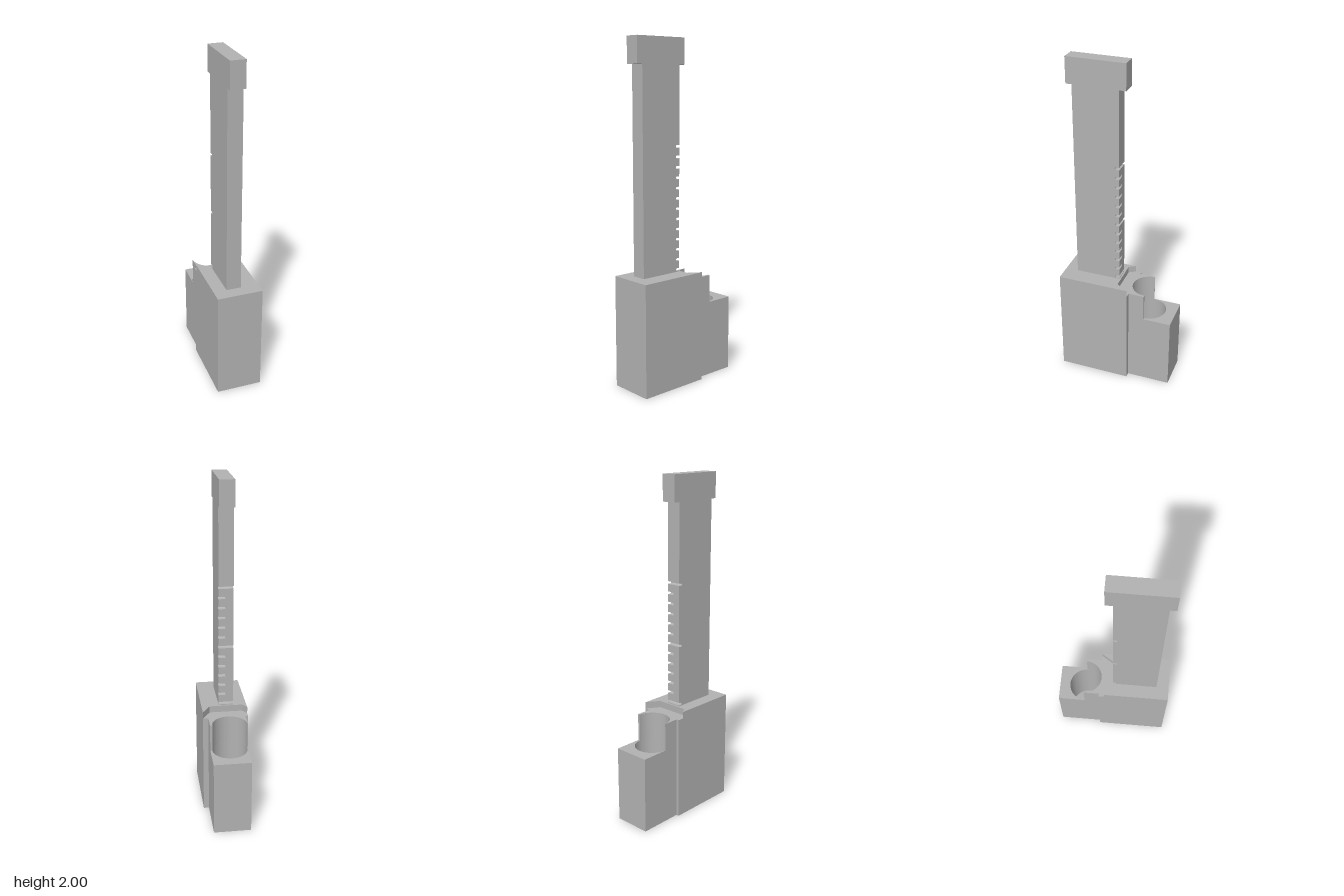
import * as THREE from 'three';
import { toCreasedNormals } from 'three/addons/utils/BufferGeometryUtils.js';

export function createModel() {
  const group = new THREE.Group();
  const grey = new THREE.MeshStandardMaterial({ color: 0xb2b2b2 });
  grey.name = 'plain grey';

  const extrude = (shape, depth) =>
    new THREE.ExtrudeGeometry(shape, { depth, bevelEnabled: false, curveSegments: 32 });
  const polygon = (pts) => new THREE.Shape(pts.map(([x, y]) => new THREE.Vector2(x, y)));
  const add = (name, geometry) => {
    const mesh = new THREE.Mesh(toCreasedNormals(geometry, 0.5), grey);
    mesh.name = name;
    group.add(mesh);
  };

  // Horizontal layer: outline in (x, -z), raised from y0 to y1
  const layer = (name, shape, y0, y1) =>
    add(name, extrude(shape, y1 - y0).rotateX(-Math.PI / 2).translate(0, y0, 0));

  const hx = -0.013, hz = 0.18, r = 0.103; // bore centre and radius

  // Base with the bored rear block
  const base = polygon([
    [-0.135, -0.345], [0.135, -0.345], [0.135, 0.085], [0.103, 0.085],
    [0.103, 0.347], [-0.118, 0.347], [-0.118, 0.085], [-0.135, 0.085],
  ]);
  base.holes.push(new THREE.Path().absarc(hx, hz, r, 0, Math.PI * 2, true));
  layer('baseBlock', base, 0, 0.455);

  // Half-open collar continuing the bore
  const collar = new THREE.Shape();
  collar.moveTo(-0.135, -0.345);
  collar.lineTo(0.135, -0.345);
  collar.lineTo(0.135, 0.085);
  collar.lineTo(0.103, 0.085);
  collar.lineTo(0.103, hz);
  collar.absarc(hx, hz, r, 0, Math.PI, true);
  collar.lineTo(-0.118, hz);
  collar.lineTo(-0.118, 0.085);
  collar.lineTo(-0.135, 0.085);
  layer('collarBlock', collar, 0.455, 0.62);

  // Top rim with the angled recess at the back
  layer('recessedRim', polygon([
    [-0.135, -0.345], [0.135, -0.345], [0.135, 0.085],
    [0.086, 0.01], [-0.111, 0.01], [-0.135, 0.05],
  ]), 0.62, 0.66);

  // Upright bar with T head: side profile in (-z, y), notched on its back edge
  const barProfile = (step) => {
    const s = new THREE.Shape();
    const h = 0.008, depth = 0.026;
    s.moveTo(-0.27, 0.655);
    s.lineTo(0, 0.655);
    for (let i = 0; i <= 12; i += step) {
      const y = 0.673 + i * 0.06;
      s.lineTo(0, y - h);
      s.lineTo(-depth + h, y - h);
      s.absarc(-depth + h, y, h, -Math.PI / 2, Math.PI / 2, true);
      s.lineTo(0, y + h);
    }
    [[0, 1.85], [0.04, 1.85], [0.04, 2], [-0.305, 2], [-0.305, 1.85], [-0.27, 1.85]]
      .forEach(([u, y]) => s.lineTo(u, y));
    return s;
  };

  // Short notches cut one half only; every sixth runs the full width
  const barHalf = (name, step, x0, x1) =>
    add(name, extrude(barProfile(step), x1 - x0).rotateY(Math.PI / 2).translate(x0, 0, 0));
  barHalf('barScaleHalf', 1, -0.013, 0.03);
  barHalf('barPlainHalf', 6, -0.057, -0.013);

  return group;
}
